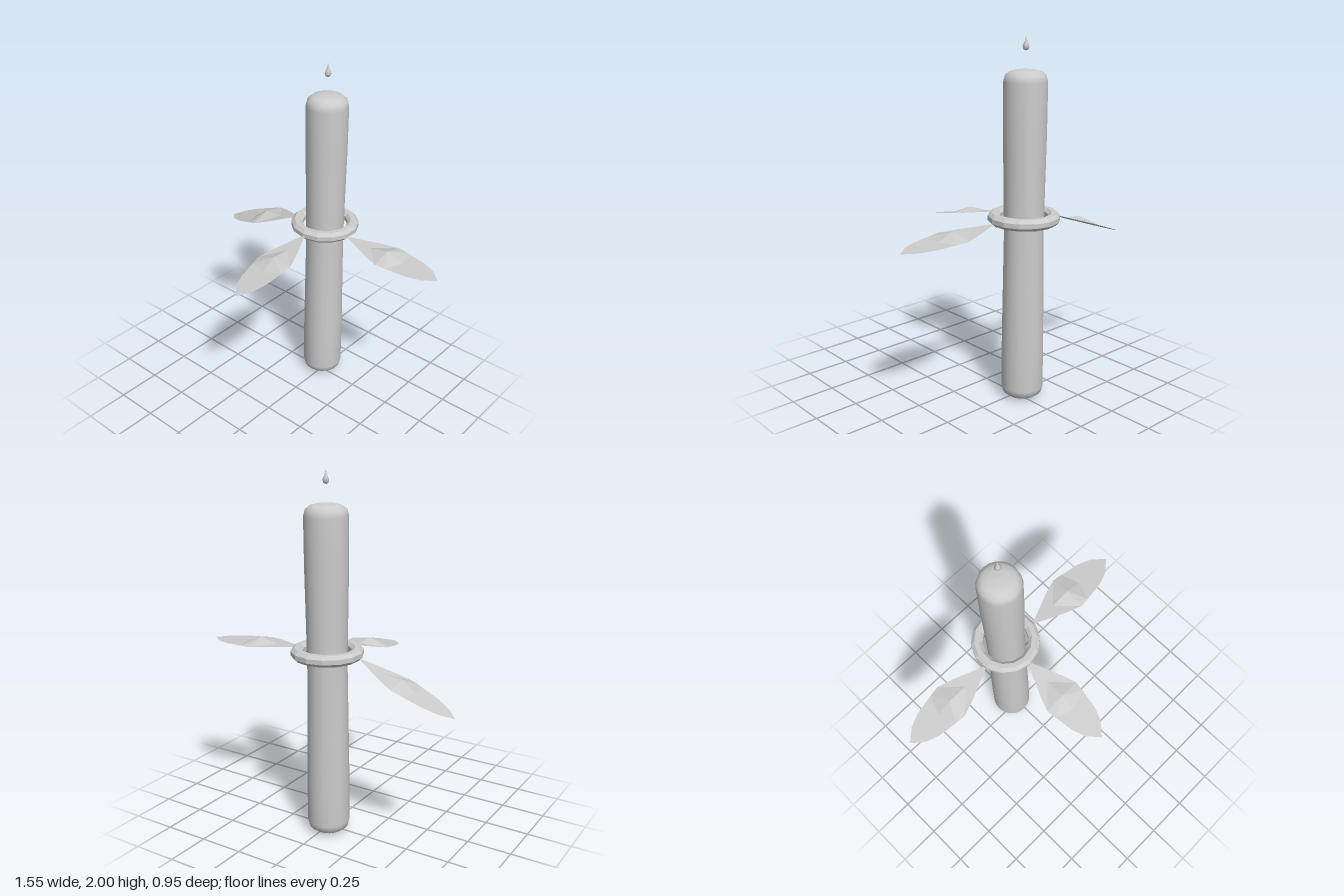
import * as THREE from 'three';

const grey = new THREE.MeshStandardMaterial({ color: 0xcccccc });
grey.name = 'grey';
const flatGrey = new THREE.MeshStandardMaterial({ color: 0xcccccc, flatShading: true, side: THREE.DoubleSide });
flatGrey.name = 'flat grey';

// Turned part around the stem axis from [radius, y] pairs, bottom to top
function turned(name, profile, sides, material) {
  const points = profile.map(([r, y]) => new THREE.Vector2(r, y));
  const mesh = new THREE.Mesh(new THREE.LatheGeometry(points, sides), material);
  mesh.name = name;
  mesh.position.set(-0.02, 0, -0.28);
  return mesh;
}

// Leaf along +z: each row is [edge z, half width, centre z, centre height]
function leafGeometry() {
  const rows = [
    [0, 0.008, 0, 0], [0.18, 0.085, 0.15, 0], [0.27, 0.115, 0.265, 0.03],
    [0.33, 0.108, 0.37, 0], [0.45, 0.09, 0.45, 0], [0.53, 0.06, 0.53, 0], [0.6, 0.001, 0.6, 0],
  ];
  const positions = [], index = [];
  rows.forEach(([z, w, cz, h], i) => {
    positions.push(-w, 0, z, 0, h, cz, w, 0, z);
    if (i === 0) return;
    for (let k = 0; k < 2; k++) {
      const a = (i - 1) * 3 + k, b = a + 1, c = a + 3, d = a + 4;
      // Split each quad so the diagonals mirror across the midrib
      if (k === 0) index.push(a, c, b, b, c, d);
      else index.push(a, c, d, a, d, b);
    }
  });
  const geometry = new THREE.BufferGeometry();
  geometry.setAttribute('position', new THREE.Float32BufferAttribute(positions, 3));
  geometry.setIndex(index);
  geometry.computeVertexNormals();
  return geometry;
}

export function createModel() {
  const model = new THREE.Group();
  model.name = 'stem with leaves';

  // Rounded column with a slight waist
  model.add(turned('column', [
    [0, 0], [0.05, 0.004], [0.085, 0.014], [0.108, 0.032], [0.117, 0.065], [0.117, 0.3],
    [0.113, 0.6], [0.108, 0.95], [0.111, 1.2], [0.116, 1.5], [0.117, 1.765],
    [0.108, 1.8], [0.085, 1.819], [0.05, 1.828], [0, 1.831],
  ], 20, grey));

  // Octagonal-section ring around the middle
  const section = [];
  for (let i = 0; i <= 8; i++) {
    const a = Math.PI / 8 + (i * Math.PI) / 4;
    section.push([0.163 + 0.035 * Math.cos(a), 1.045 + 0.033 * Math.sin(a)]);
  }
  model.add(turned('ring', section, 14, flatGrey));

  // Droplet floating above the column
  model.add(turned('droplet', [
    [0, 1.925], [0.012, 1.93], [0.018, 1.943], [0.014, 1.957], [0.007, 1.972], [0.003, 1.987], [0, 2],
  ], 10, grey));

  // Three drooping leaves: base position, yaw, droop, roll, scale
  const leaf = leafGeometry();
  const leaves = [
    ['frontLeaf', [-0.02, 1.04, -0.09], 0.01, 0.21, 0.1, 0.955],
    ['leftLeaf', [0.18, 1.035, -0.25], Math.PI / 2, 0.06, 0, 0.993],
    ['rightLeaf', [-0.21, 1.03, -0.255], -1.632, 0.345, -0.08, 1.01],
  ];
  for (const [name, position, yaw, droop, roll, scale] of leaves) {
    const mesh = new THREE.Mesh(leaf, flatGrey);
    mesh.name = name;
    mesh.position.set(...position);
    mesh.rotation.set(droop, yaw, roll, 'YXZ');
    mesh.scale.set(1, 1, scale);
    model.add(mesh);
  }
  return model;
}
